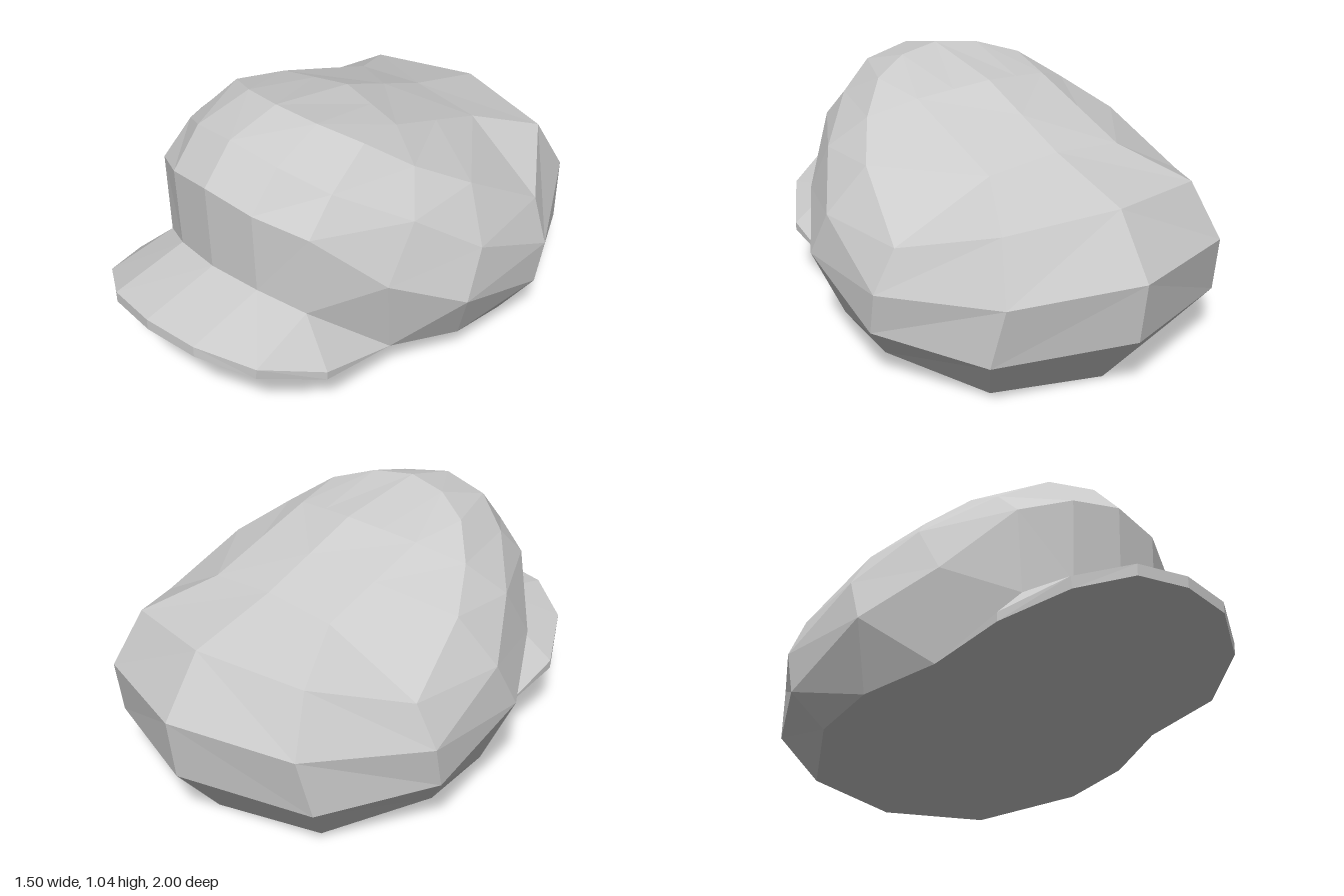
import * as THREE from 'three';

// Half-rings of the crown (x >= 0), each running from front centre round to back centre.
const hem = [[0, .49, .68], [.21, .475, .65], [.38, .41, .565], [.55, .18, .29],
  [.65, .13, 0], [.64, .08, -.28], [.43, .02, -.66], [0, 0, -.78]];
const band = [[0, .845, .69], [.21, .81, .66], [.395, .745, .56], [.59, .525, .355],
  [.745, .38, .08], [.745, .23, -.36], [.53, .22, -.8], [0, .23, -.97]];
const shoulder = [[0, .99, .56], [.21, .955, .53], [.38, .87, .43], [.58, .74, .21],
  [.72, .57, -.02], [.75, .4, -.4], [.5, .455, -.85], [0, .47, -1]];
const ridge = [[0, 1.04, .33], [.18, 1.02, .3], [.34, .97, .22], [.47, .87, .09],
  [.59, .76, -.1], [.67, .57, -.42], [.44, .67, -.74], [0, .7, -.84]];
const plateau = [[0, .97, -.05], [.15, .953, -.025], [.3, .935, 0], [.3, .935, 0],
  [.3, .853, -.235], [.3, .77, -.47], [.3, .77, -.47], [0, .8, -.48]];

// Outer edge of the peak, from front centre round the corner to the hem.
const peakTop = [[0, .425, 1], [.22, .41, .97], [.415, .345, .85], [.54, .26, .62], hem[3]];
const peakBottom = [[0, .38, 1], [.22, .365, .97], [.41, .3, .85], [.54, .225, .62], hem[3]];
const peakRoot = [...hem.slice(0, 4), hem[3]];

const fill = (point, n) => Array.from({ length: n }, () => point);

// Skin between successive half-rings, mirrored across x = 0.
// backSplit cuts each quad along its other diagonal.
function mirroredLoft(name, rows, material, backSplit = false) {
  const positions = [];
  const triangle = (a, b, c) => {
    const [p, q, r] = [a, b, c].map((v) => new THREE.Vector3(...v));
    if (q.clone().sub(p).cross(r.clone().sub(p)).length() < 1e-6) return;
    positions.push(...a, ...b, ...c);
    for (const [x, y, z] of [a, c, b]) positions.push(-x, y, z);
  };
  for (let i = 0; i < rows.length - 1; i++) {
    for (let j = 0; j < rows[i].length - 1; j++) {
      const a = rows[i][j], b = rows[i][j + 1];
      const c = rows[i + 1][j + 1], d = rows[i + 1][j];
      triangle(a, b, backSplit ? d : c);
      triangle(backSplit ? b : a, c, d);
    }
  }
  const geometry = new THREE.BufferGeometry();
  geometry.setAttribute('position', new THREE.Float32BufferAttribute(positions, 3));
  geometry.computeVertexNormals();
  const mesh = new THREE.Mesh(geometry, material);
  mesh.name = name;
  return mesh;
}

export function createModel() {
  const model = new THREE.Group();
  model.name = 'cap';
  const material = new THREE.MeshStandardMaterial({ color: 0xcccccc, flatShading: true });

  // Crown: hem up to the ridge, then in over the sloping top
  const topCentre = fill([0, .885, -.265], plateau.length);
  model.add(mirroredLoft('crown', [hem, band, shoulder, ridge, plateau, topCentre], material));

  // Peak: thin outer lip and the sloping upper face back to the hem
  model.add(mirroredLoft('peak', [peakBottom, peakTop, peakRoot], material, true));

  // Underside: shallow fan closing the peak and the hem
  const rim = [...peakBottom, ...hem.slice(4)];
  model.add(mirroredLoft('underside', [fill([0, .28, .26], rim.length), rim], material));

  return model;
}
